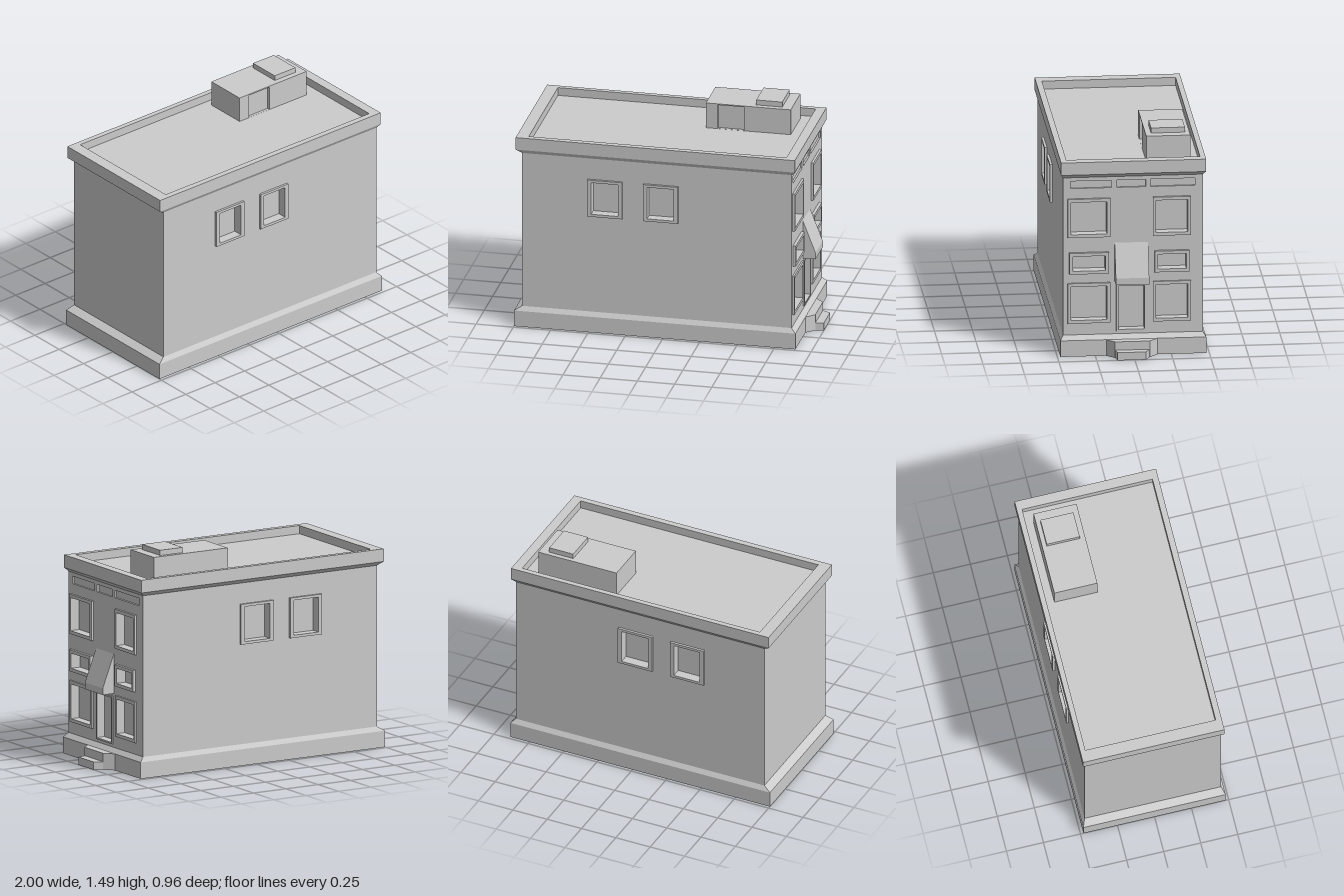
import * as THREE from 'three';

const material = new THREE.MeshStandardMaterial({ color: 0xcccccc, flatShading: true });

function mesh(name, geometry) {
  const m = new THREE.Mesh(geometry, material);
  m.name = name;
  return m;
}

// Box given by its limits
function block(name, x0, x1, y0, y1, z0, z1) {
  const g = new THREE.BoxGeometry(x1 - x0, y1 - y0, z1 - z0);
  g.translate((x0 + x1) / 2, (y0 + y1) / 2, (z0 + z1) / 2);
  return mesh(name, g);
}

// Skin over stacked rectangles [y, x0, x1, z0, z1], closed at both ends
function stack(name, rings) {
  const loops = rings.map(([y, x0, x1, z0, z1]) => [[x0, y, z1], [x1, y, z1], [x1, y, z0], [x0, y, z0]]);
  const pos = [];
  const quad = (a, b, c, d) => [a, b, c, a, c, d].forEach((p) => pos.push(...p));
  for (let i = 0; i + 1 < loops.length; i++) {
    for (let k = 0; k < 4; k++) {
      const n = (k + 1) % 4;
      quad(loops[i][k], loops[i][n], loops[i + 1][n], loops[i + 1][k]);
    }
  }
  const [a, b, c, d] = loops[0];
  quad(d, c, b, a);
  quad(...loops[loops.length - 1]);
  const g = new THREE.BufferGeometry();
  g.setAttribute('position', new THREE.Float32BufferAttribute(pos, 3));
  g.computeVertexNormals();
  return mesh(name, g);
}

const polygon = (points) => new THREE.Shape(points.map((p) => new THREE.Vector2(...p)));
const corners = ([u0, u1, v0, v1]) => [[u0, v0], [u1, v0], [u1, v1], [u0, v1]];

// Rectangular plate with rectangular holes, from depth w0 to w1
function plate(name, rect, holes, w0, w1) {
  const shape = polygon(corners(rect));
  shape.holes = holes.map((h) => new THREE.Path(corners(h).map((p) => new THREE.Vector2(...p))));
  const g = new THREE.ExtrudeGeometry(shape, { depth: w1 - w0, bevelEnabled: false });
  g.translate(0, 0, w0);
  return mesh(name, g);
}

// Wall pierced by framed openings and shallow sunk panels; u runs right, v up
function facade(name, rect, face, thickness, turn, openings, panels = []) {
  const group = new THREE.Group();
  group.name = name;
  const inner = ({ rect: [a, b, c, d], border: [bu, bv] }) => [a + bu, b - bu, c + bv, d - bv];
  group.add(plate('wall', rect, [...openings.map(inner), ...panels], face - thickness, face));
  for (const o of openings) group.add(plate(o.name, o.rect, [inner(o)], face, face + o.proud));
  for (const [a, b, c, d] of panels) {
    group.add(block('sunkPanel', a, b, c, d, face - thickness, face - 0.012));
  }
  group.rotation.y = turn;
  return group;
}

export function createModel() {
  const root = new THREE.Group();
  root.name = 'building';
  const T = 0.05;

  // Plinth, inner core and cornice with sunken roof
  root.add(stack('plinth', [
    [0, -1, 0.89, -0.48, 0.48], [0.11, -1, 0.89, -0.48, 0.48], [0.14, -0.95, 0.86, -0.46, 0.46],
  ]));
  root.add(block('core', -0.95, 0.86 - T, 0.12, 1.24, -0.46 + T, 0.46 - T));
  root.add(stack('corniceAndRoof', [
    [1.22, -0.95, 0.86, -0.46, 0.46], [1.245, -0.99, 0.885, -0.48, 0.475],
    [1.33, -0.99, 0.885, -0.48, 0.475], [1.33, -0.91, 0.82, -0.445, 0.435],
    [1.275, -0.91, 0.82, -0.445, 0.435],
  ]));

  // Side walls with two windows each
  const sideWindow = (u0, u1, v0, v1) =>
    ({ name: 'sideWindowFrame', rect: [u0, u1, v0, v1], border: [0.028, 0.018], proud: 0.016 });
  root.add(facade('leftWall', [-0.95, 0.86, 0.13, 1.23], 0.46, T, 0, [
    sideWindow(-0.51, -0.275, 0.815, 1.073), sideWindow(-0.135, 0.1, 0.815, 1.073),
  ]));
  root.add(facade('rightWall', [-0.86, 0.95, 0.13, 1.23], 0.46, T, Math.PI, [
    sideWindow(0.27, 0.515, 0.81, 1.08), sideWindow(-0.11, 0.14, 0.81, 1.08),
  ]));

  // Entrance wall: three rows of windows, door and frieze panels
  const rows = [
    { v: [0.22, 0.495], proud: 0.012 }, { v: [0.56, 0.705], proud: 0.02 }, { v: [0.81, 1.075], proud: 0.016 },
  ];
  const openings = rows.flatMap(({ v, proud }, i) => {
    const inset = i === 1 ? 0.01 : 0;
    return [[-0.43 + inset, -0.15 - inset], [0.132 + inset, 0.38 - inset]].map((u) =>
      ({ name: 'windowFrame', rect: [...u, ...v], border: [0.02, 0.022], proud }));
  });
  openings.push({ name: 'doorFrame', rect: [-0.11, 0.088, 0.16, 0.48], border: [0.013, 0.011], proud: 0.008 });
  root.add(facade('entranceWall', [-0.46 + T, 0.46 - T, 0.13, 1.143], 0.86, T, Math.PI / 2,
    openings.map((o) => o.rect[0] < -0.41 ? { ...o, border: [0.022, 0.022] } : o)));
  root.add(facade('frieze', [-0.46, 0.46, 1.13, 1.23], 0.86, 0.03, Math.PI / 2, [],
    [[-0.45, -0.14, 1.145, 1.195], [-0.105, 0.085, 1.145, 1.195], [0.115, 0.45, 1.145, 1.195]]));

  // Awning over the door
  const awning = new THREE.ExtrudeGeometry(
    polygon([[0.85, 0.5], [0.945, 0.5], [0.945, 0.545], [0.86, 0.765], [0.85, 0.765]]),
    { depth: 0.22, bevelEnabled: false });
  awning.translate(0, 0, -0.1);
  root.add(mesh('awning', awning));

  // Steps tapering outwards; plan points are [x, -z]
  const step = (name, plan, height) => {
    const g = new THREE.ExtrudeGeometry(polygon(plan), { depth: height, bevelEnabled: false });
    g.rotateX(-Math.PI / 2);
    root.add(mesh(name, g));
  };
  step('upperStep', [[0.88, -0.18], [0.89, -0.178], [0.945, -0.125], [0.945, 0.105], [0.89, 0.16], [0.88, 0.16]], 0.11);
  step('lowerStep', [[0.94, -0.125], [1, -0.113], [1, 0.073], [0.94, 0.105]], 0.053);

  // Roof house with a recessed door and a vent cap
  root.add(block('roofHouse', 0.16, 0.73, 1.27, 1.45, -0.39, -0.12));
  root.add(plate('roofHouseFront', [0.16, 0.73, 1.27, 1.45], [[0.24, 0.415, 1.276, 1.442]], -0.12, -0.1));
  root.add(block('roofVent', 0.49, 0.665, 1.44, 1.485, -0.36, -0.137));

  return root;
}
